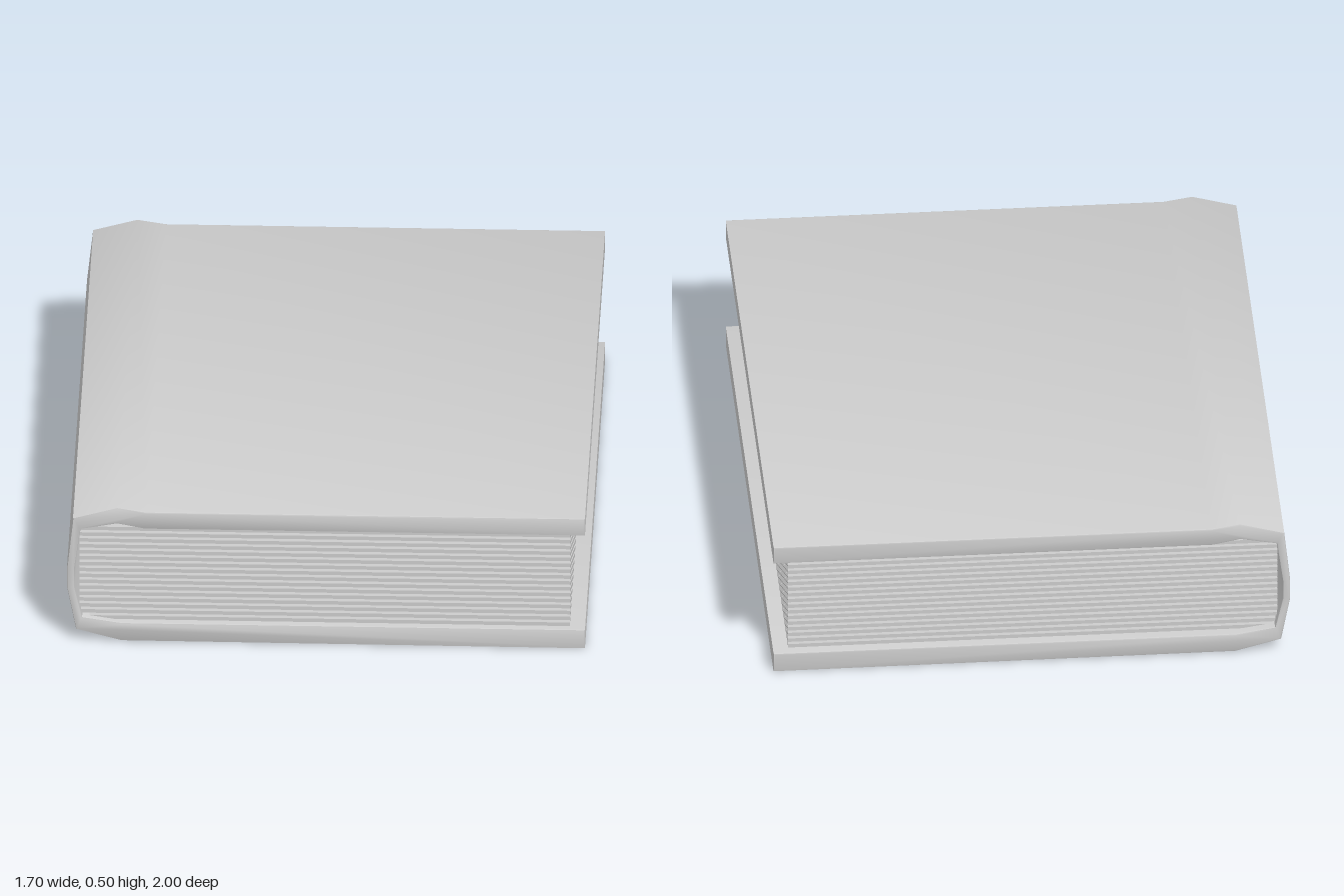
import * as THREE from 'three';
import { toCreasedNormals } from 'three/addons/utils/BufferGeometryUtils.js';

export function createModel() {
  const book = new THREE.Group();
  book.name = 'book';
  const material = new THREE.MeshStandardMaterial({ color: 0xcccccc });

  // Cover: one wrapped cross-section (boards and spine) running along z
  const outline = [
    [0.85, 0], [0.85, 0.07], [-0.67, 0.07], [-0.8, 0.09],
    [-0.825, 0.2], [-0.825, 0.27], [-0.805, 0.415], [-0.685, 0.438], [-0.595, 0.42],
    [0.85, 0.42], [0.85, 0.483], [-0.59, 0.483], [-0.685, 0.498], [-0.83, 0.457],
    [-0.85, 0.27], [-0.85, 0.2], [-0.82, 0.043], [-0.67, 0.003],
  ].map(([x, y]) => new THREE.Vector2(x, y));
  const bevel = 0.006;
  const coverGeometry = new THREE.ExtrudeGeometry(new THREE.Shape(outline), {
    depth: 2 - 2 * bevel,
    bevelThickness: bevel,
    bevelSize: bevel,
    bevelOffset: -bevel,
    bevelSegments: 2,
  });
  coverGeometry.translate(0, 0, -1 + bevel);
  const cover = new THREE.Mesh(toCreasedNormals(coverGeometry, 0.7), material);
  cover.name = 'cover';
  book.add(cover);

  // Pages: separate thin sheets stacked with narrow gaps
  const pages = new THREE.Group();
  pages.name = 'pages';
  const sheetGeometry = new THREE.BoxGeometry(1.61, 0.013, 1.95);
  const count = 16;
  for (let i = 0; i < count; i++) {
    const sheet = new THREE.Mesh(sheetGeometry, material);
    sheet.name = 'page';
    sheet.position.set(-0.005, 0.08 + (i * 0.33) / (count - 1), 0.005);
    pages.add(sheet);
  }
  book.add(pages);

  return book;
}
